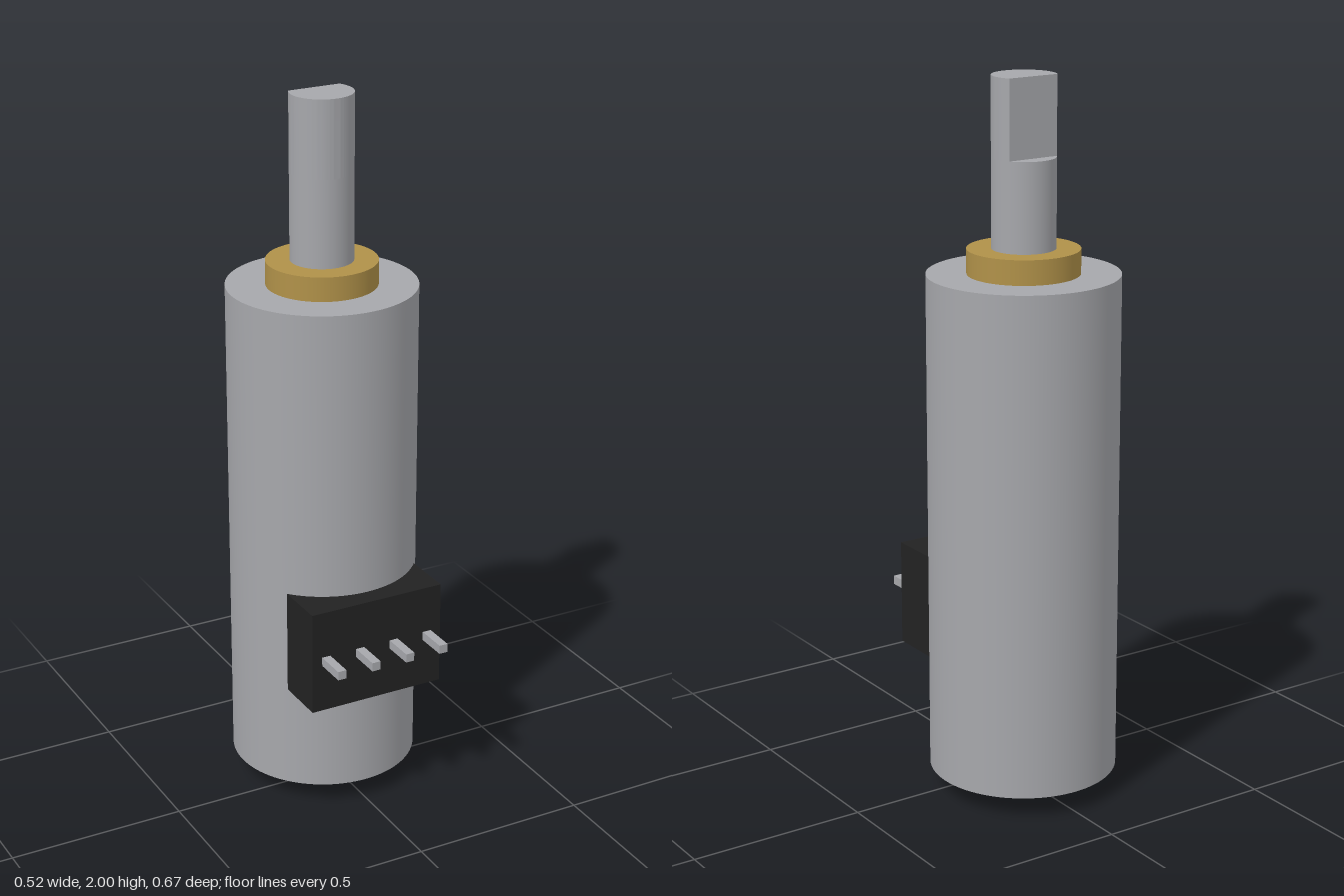
import * as THREE from 'three';
import { toCreasedNormals } from 'three/addons/utils/BufferGeometryUtils.js';

const AXIS_Z = -0.075; // the motor axis sits behind the centre

export function createModel() {
  const motor = new THREE.Group();
  motor.name = 'gearMotor';

  const material = (name, color) => {
    const m = new THREE.MeshStandardMaterial({ color });
    m.name = name;
    return m;
  };
  const steel = material('steel grey', 0xa6a7ab);
  const brass = material('brass', 0xb09149);
  const black = material('black plastic', 0x222222);

  const add = (name, geometry, mat, x, y, z) => {
    const mesh = new THREE.Mesh(geometry, mat);
    mesh.name = name;
    mesh.position.set(x, y, z);
    motor.add(mesh);
  };

  // Upright cylinder on the motor axis between two heights
  const cylinder = (name, radius, y0, y1, mat) =>
    add(name, new THREE.CylinderGeometry(radius, radius, y1 - y0, 96), mat, 0, (y0 + y1) / 2, AXIS_Z);

  // Upright prism from a plan outline (x, -z) about the motor axis
  const prism = (name, shape, y0, y1, mat) => {
    const geometry = new THREE.ExtrudeGeometry(shape, { depth: y1 - y0, bevelEnabled: false, curveSegments: 64 });
    geometry.rotateX(-Math.PI / 2);
    add(name, toCreasedNormals(geometry, 0.4), mat, 0, y0, AXIS_Z);
  };

  // Body, bearings and round part of the shaft
  cylinder('rearBearing', 0.113, 0, 0.07, brass);
  cylinder('body', 0.262, 0.063, 1.472, steel);
  cylinder('frontBearing', 0.153, 1.465, 1.54, brass);
  cylinder('shaft', 0.087, 1.53, 1.785, steel);

  // D-shaped shaft end, flat side to the back
  const flat = Math.asin(0.043 / 0.087);
  const dShape = new THREE.Shape();
  dShape.absarc(0, 0, 0.087, Math.PI - flat, Math.PI * 2 + flat, false);
  dShape.closePath();
  prism('shaftFlatEnd', dShape, 1.785, 2, steel);

  // Connector housing, hollowed to fit around the body
  const a = Math.acos(0.2 / 0.261);
  const housing = new THREE.Shape();
  housing.moveTo(-0.2, -0.318);
  housing.lineTo(0.2, -0.318);
  housing.lineTo(0.2, -0.261 * Math.sin(a));
  housing.absarc(0, 0, 0.261, -a, -Math.PI + a, true);
  housing.closePath();
  prism('connectorHousing', housing, 0.36, 0.658, black);

  // Four square contact pins
  for (let i = 0; i < 4; i++) {
    add('contactPin', new THREE.BoxGeometry(0.025, 0.025, 0.105), steel, -0.1575 + i * 0.105, 0.511, 0.2825);
  }

  return motor;
}
